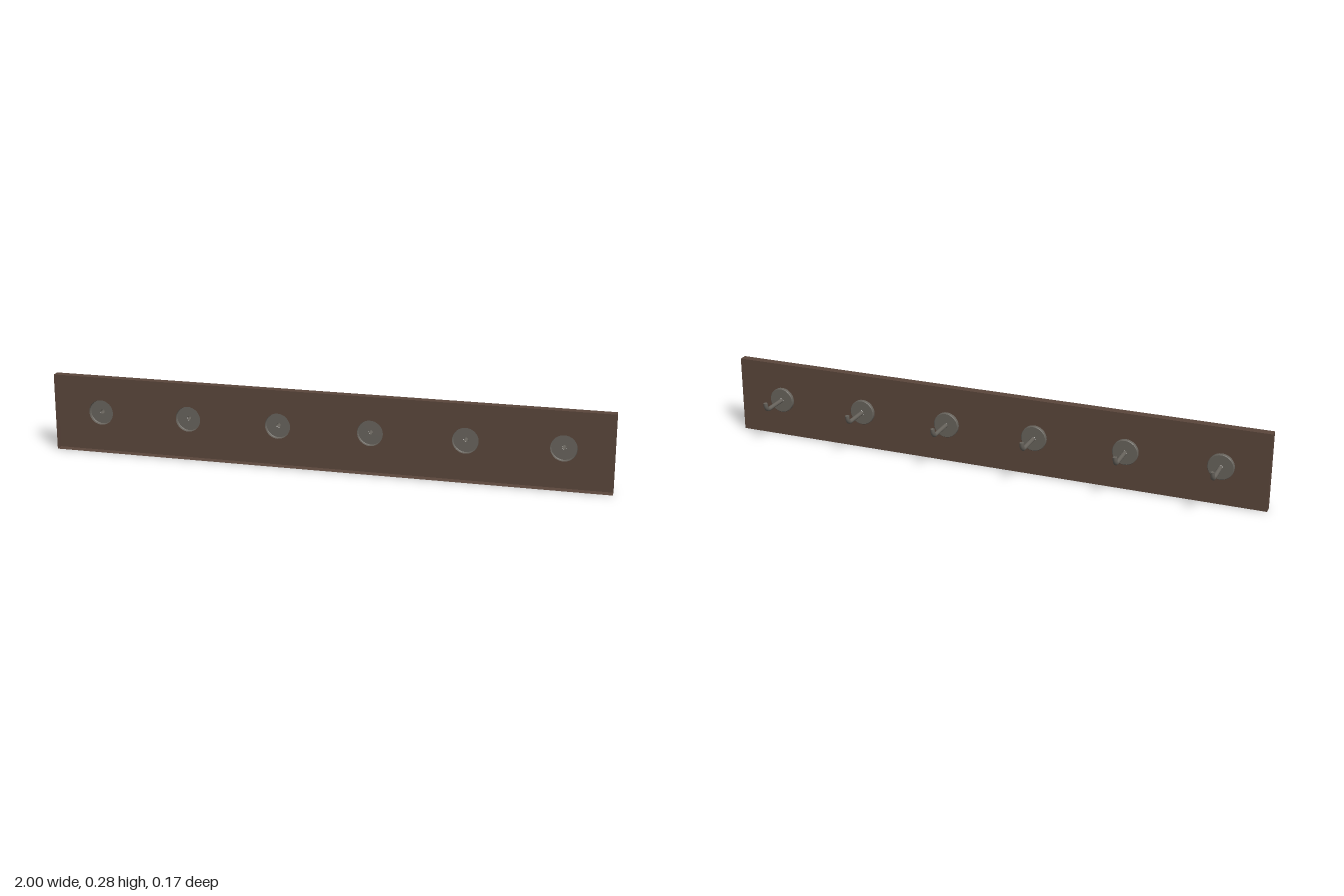
import * as THREE from 'three';

const BACK = 0.053, FRONT = 0.083, HEIGHT = 0.28, HOOK_Y = 0.141, DISC_R = 0.046;
const HOOK_X = Array.from({ length: 6 }, (_, i) => -0.836 + i * 0.333);

export function createModel() {
  const group = new THREE.Group();
  const wood = new THREE.MeshStandardMaterial({ color: 0x5a463b, side: THREE.DoubleSide });
  wood.name = 'dark brown wood';
  const metal = new THREE.MeshStandardMaterial({ color: 0x67635c, side: THREE.DoubleSide });
  metal.name = 'grey metal';

  const add = (parent, name, geometry, material) => {
    const mesh = new THREE.Mesh(geometry, material);
    mesh.name = name;
    parent.add(mesh);
    return mesh;
  };

  // Board panel, pierced where each hook plate sits
  const outline = new THREE.Shape();
  outline.moveTo(-1, 0).lineTo(1, 0).lineTo(1, HEIGHT).lineTo(-1, HEIGHT).closePath();
  for (const x of HOOK_X) {
    outline.holes.push(new THREE.Path().absarc(x, HOOK_Y, DISC_R, 0, Math.PI * 2, true));
  }
  add(group, 'boardPanel', new THREE.ShapeGeometry(outline, 16), wood).position.z = BACK;

  // Board edges: the four sides of a box, open towards the wall side
  const rim = new THREE.BoxGeometry(2, HEIGHT, FRONT - BACK);
  rim.setIndex(Array.from(rim.index.array.slice(0, 24)));
  rim.clearGroups();
  add(group, 'boardEdges', rim, wood).position.set(0, HEIGHT / 2, (FRONT + BACK) / 2);

  // Hollow round plate: side wall, small bevel and flat face with a bore
  const flatRing = new THREE.RingGeometry(0.008, DISC_R - 0.002, 32);
  flatRing.rotateY(Math.PI);
  const wall = new THREE.CylinderGeometry(DISC_R, DISC_R, 0.011, 32, 1, true);
  wall.rotateX(-Math.PI / 2);
  const bevel = new THREE.CylinderGeometry(DISC_R - 0.002, DISC_R, 0.002, 32, 1, true);
  bevel.rotateX(-Math.PI / 2);

  // Rod running out from the plate and bending up at the end
  const path = new THREE.CurvePath();
  const v = (y, z) => new THREE.Vector3(0, y, z);
  path.add(new THREE.LineCurve3(v(0, 0.04), v(0, -0.045)));
  path.add(new THREE.CubicBezierCurve3(v(0, -0.045), v(0, -0.062), v(0.006, -0.072), v(0.023, -0.0745)));
  path.add(new THREE.LineCurve3(v(0.023, -0.0745), v(0.03, -0.075)));
  const rod = new THREE.TubeGeometry(path, 32, 0.0078, 12, false);
  const tip = new THREE.CircleGeometry(0.0078, 12);
  tip.rotateX(-Math.PI / 2);

  HOOK_X.forEach((x, i) => {
    const hook = new THREE.Group();
    hook.name = `hook${i + 1}`;
    hook.position.set(x, HOOK_Y, 0);
    add(hook, 'plateWall', wall, metal).position.z = 0.0475;
    add(hook, 'plateBevel', bevel, metal).position.z = 0.041;
    add(hook, 'plateFace', flatRing, metal).position.z = 0.04;
    add(hook, 'rod', rod, metal);
    add(hook, 'rodTip', tip, metal).position.set(0, 0.03, -0.075);
    group.add(hook);
  });
  return group;
}
